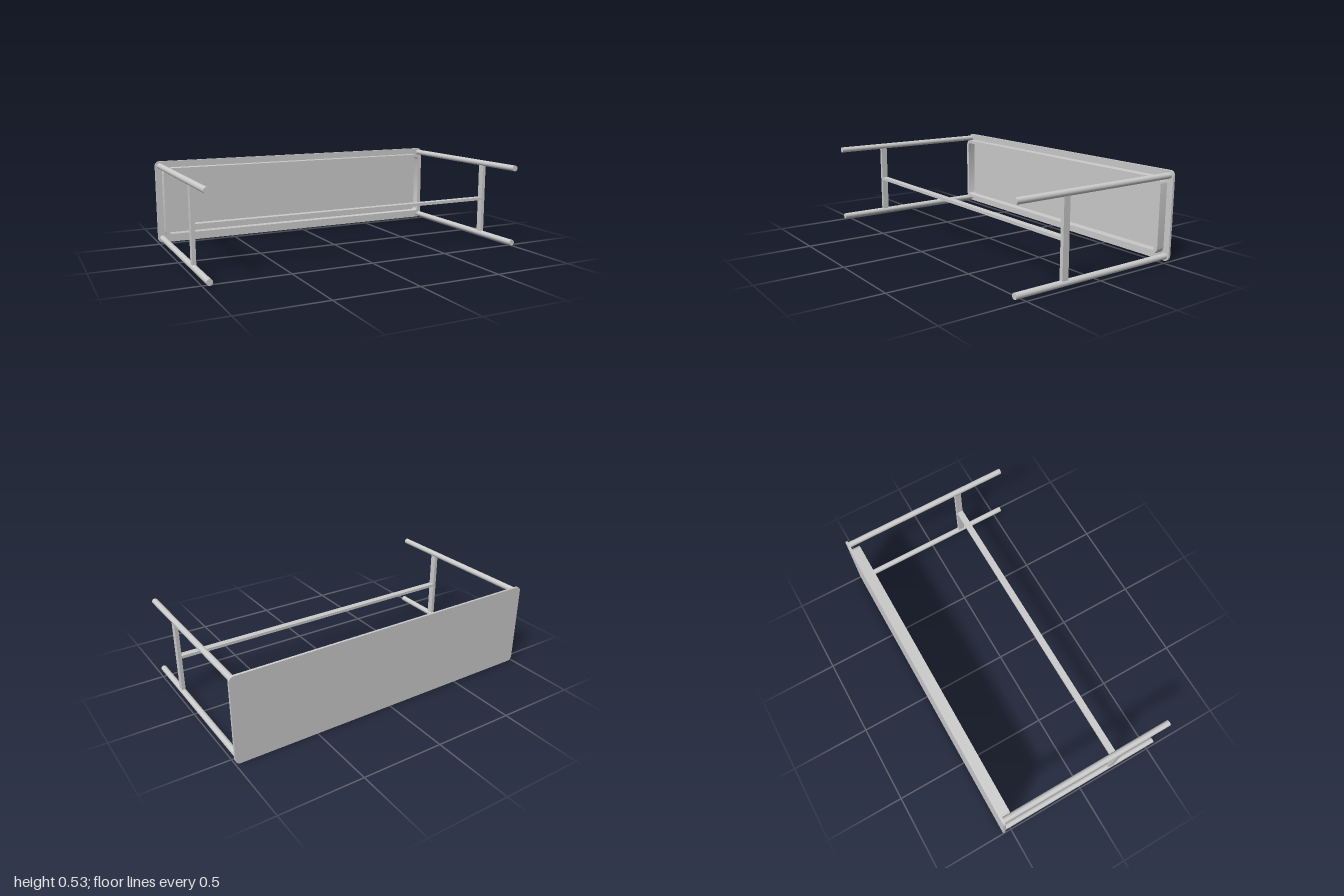
import * as THREE from 'three';
import { toCreasedNormals } from 'three/addons/utils/BufferGeometryUtils.js';

const MID = 0.264;                 // height of the centre line
const BACK = -0.553, BOARD = 0.015, FRONT = 0.553;
const LEG_X = 0.972, LEG_Y = 0.235, LEG_R = 0.018;

// Rounded rectangle centred on the origin
function roundedRect(path, hw, hh, r) {
  path.moveTo(hw, -hh + r);
  path.lineTo(hw, hh - r);
  path.absarc(hw - r, hh - r, r, 0, Math.PI / 2);
  path.lineTo(-hw + r, hh);
  path.absarc(-hw + r, hh - r, r, Math.PI / 2, Math.PI);
  path.lineTo(-hw, -hh + r);
  path.absarc(-hw + r, -hh + r, r, Math.PI, Math.PI * 1.5);
  path.lineTo(hw - r, -hh);
  path.absarc(hw - r, -hh + r, r, Math.PI * 1.5, Math.PI * 2);
  return path;
}

export function createModel() {
  const group = new THREE.Group();
  const material = new THREE.MeshStandardMaterial({ color: 0xcccccc });

  function add(name, geometry, x, y, z) {
    const mesh = new THREE.Mesh(geometry, material);
    mesh.name = name;
    mesh.position.set(x, y, z);
    group.add(mesh);
    return mesh;
  }
  const extrude = (shape, depth) => toCreasedNormals(
    new THREE.ExtrudeGeometry(shape, { depth, bevelEnabled: false, curveSegments: 10 }), 0.6);

  // Table lies on its long edge, so the top is an upright board at the back
  add('tabletop', extrude(roundedRect(new THREE.Shape(), 1, MID, 0.03), BOARD), 0, MID, BACK);

  // Apron: a thin rounded frame under the top
  const apron = roundedRect(new THREE.Shape(), 0.96, 0.223, 0.04);
  apron.holes.push(roundedRect(new THREE.Path(), 0.938, 0.201, 0.018));
  add('apron', extrude(apron, 0.054), 0, MID, BACK + BOARD);

  // Round legs
  const legLength = FRONT - BACK - BOARD;
  const legGeometry = new THREE.CylinderGeometry(LEG_R, LEG_R, legLength, 32);
  legGeometry.rotateX(Math.PI / 2);
  for (const sx of [-1, 1]) {
    for (const sy of [-1, 1]) {
      add('leg', legGeometry, sx * LEG_X, MID + sy * LEG_Y, FRONT - legLength / 2);
    }
    // Flat bar joining each pair of legs
    add('endStretcher', new THREE.BoxGeometry(0.022, 2 * (LEG_Y - LEG_R) + 0.008, 0.041),
      sx * LEG_X, MID, 0.234);
  }

  // Long bar between the two end bars
  add('longStretcher', new THREE.BoxGeometry(1.924, 0.018, 0.041), 0, MID, 0.234);

  return group;
}
